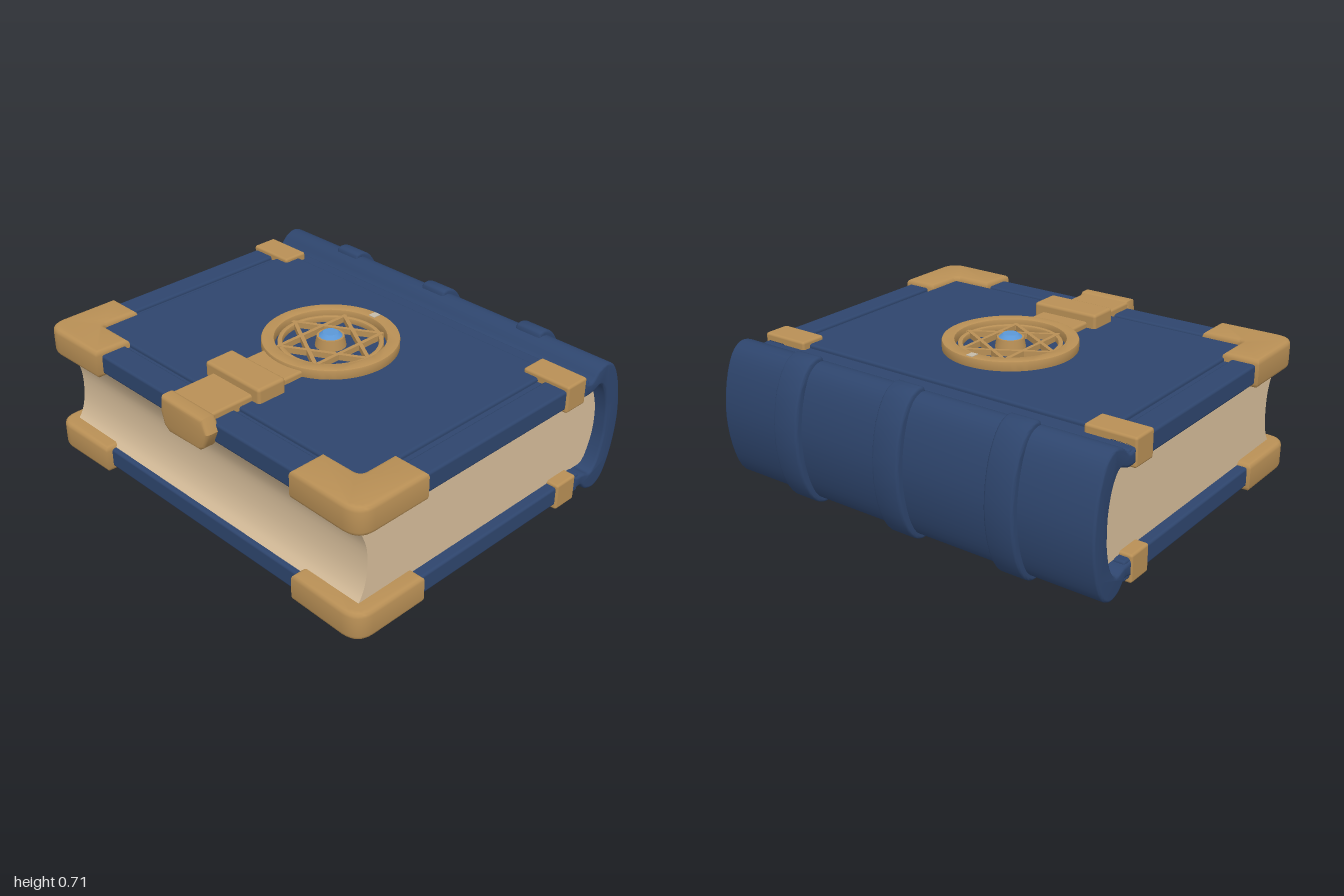
import * as THREE from 'three';
import { toCreasedNormals } from 'three/addons/utils/BufferGeometryUtils.js';
import { RoundedBoxGeometry } from 'three/addons/geometries/RoundedBoxGeometry.js';

const mat = (name, color) => {
  const m = new THREE.MeshStandardMaterial({ color });
  m.name = name;
  return m;
};

export function createModel() {
  const blue = mat('blue leather', 0x2e456d);
  const gold = mat('gold', 0xb88f55);
  const paper = mat('paper', 0xd6bd9a);
  const gemBlue = mat('gem blue', 0x5b97d6);
  const silver = mat('silver', 0xc4baa8);
  const book = new THREE.Group();
  book.name = 'book';

  const add = (name, geo, material, parent = book) => {
    const m = new THREE.Mesh(geo, material);
    m.name = name;
    parent.add(m);
    return m;
  };
  // Box given by its limits on each axis
  const block = (name, [x0, x1], [y0, y1], [z0, z1], material, r = 0.012) => {
    const geo = new RoundedBoxGeometry(x1 - x0, y1 - y0, z1 - z0, 2, r);
    geo.translate((x0 + x1) / 2, (y0 + y1) / 2, (z0 + z1) / 2);
    return add(name, geo, material);
  };
  const toShape = pts => new THREE.Shape(pts.map(p => new THREE.Vector2(p[0], p[1])));
  const extrude = (shape, depth, bevel) => new THREE.ExtrudeGeometry(shape, {
    depth: depth - 2 * bevel, bevelEnabled: bevel > 0, bevelSize: bevel, bevelThickness: bevel,
    bevelOffset: -bevel, bevelSegments: 3, curveSegments: 8,
  }).translate(0, 0, bevel);
  // (z, y) profile swept across x from x0 to x1
  const sweepX = (pts, x0, x1, bevel = 0) =>
    toCreasedNormals(extrude(toShape(pts), x1 - x0, bevel).rotateY(-Math.PI / 2).translate(x1, 0, 0), 0.6);
  // Smooth a short profile
  const smooth = (pts, n) => new THREE.CatmullRomCurve3(
    pts.map(p => new THREE.Vector3(p[0], p[1], 0))).getPoints(n).map(v => [v.x, v.y]);
  // Mirror a half profile about the middle height of the book
  const MID = 0.345;
  const mirrorY = pts => [...pts, ...pts.slice(0, -1).reverse().map(([z, y]) => [z, 2 * MID - y])];

  // Page block with hollow fore edge and rounded back
  const foreEdge = smooth([[0.78, 0.14], [0.745, 0.19], [0.722, 0.27], [0.722, 0.4], [0.75, 0.48], [0.79, 0.55]], 18);
  const pageBack = smooth(mirrorY([[-0.6, 0.55], [-0.66, 0.545], [-0.71, 0.45], [-0.725, MID]]), 18);
  add('pages', sweepX([...foreEdge, ...pageBack], -0.93, 0.93), paper);

  // Covers: front board with raised border and panel, plain back board
  block('frontCover', [-0.98, 0.98], [0.545, 0.622], [-0.58, 0.8], blue);
  block('frontPanel', [-0.83, 0.83], [0.6, 0.64], [-0.5, 0.65], blue);
  block('frontRim', [-0.98, 0.98], [0.56, 0.638], [0.672, 0.8], blue);
  for (const s of [-1, 1])
    block('sideRim', s > 0 ? [0.862, 0.98] : [-0.98, -0.862], [0.56, 0.638], [-0.54, 0.8], blue);
  block('backCover', [-0.98, 0.98], [0.052, 0.145], [-0.58, 0.8], blue);
  block('backPanel', [-0.955, 0.955], [0.047, 0.055], [-0.56, 0.785], paper, 0.002);

  // Spine: curved shell that swells past the hinges
  const outer = smooth(mirrorY([[-0.54, 0.62], [-0.585, 0.612], [-0.63, 0.652], [-0.685, 0.668],
    [-0.74, 0.64], [-0.79, 0.54], [-0.82, MID]]), 48);
  const inner = smooth(mirrorY([[-0.54, 0.555], [-0.605, 0.56], [-0.65, 0.575], [-0.69, 0.53],
    [-0.72, 0.43], [-0.725, MID]]), 40);
  add('spine', sweepX([...outer, ...inner.reverse()], -0.99, 0.99, 0.012), blue);

  // Raised bands on the spine
  const bandOut = smooth(mirrorY([[-0.655, 0.66], [-0.665, 0.683], [-0.7, 0.688], [-0.755, 0.66],
    [-0.82, 0.55], [-0.853, MID]]), 40);
  const bandIn = smooth(mirrorY([[-0.655, 0.645], [-0.7, 0.64], [-0.76, 0.56], [-0.79, MID]]), 30);
  for (const x of [-0.57, 0.005, 0.575])
    add('spineBand', sweepX([...bandOut, ...bandIn.reverse()], x - 0.07, x + 0.07, 0.012), blue);

  // Gold corners and hinge brackets on both covers
  const cornerShape = s => {
    const sh = new THREE.Shape();
    sh.moveTo(s * 0.62, 0.65);
    sh.lineTo(s * 0.79, 0.65);
    sh.quadraticCurveTo(s * 0.82, 0.65, s * 0.82, 0.62);
    sh.lineTo(s * 0.82, 0.46);
    sh.lineTo(s * 0.998, 0.46);
    sh.lineTo(s * 0.998, 0.75);
    sh.quadraticCurveTo(s * 0.995, 0.832, s * 0.91, 0.835);
    sh.lineTo(s * 0.62, 0.83);
    return sh;
  };
  for (const top of [0.662, 0.162]) {
    for (const s of [-1, 1]) {
      const geo = extrude(cornerShape(s), 0.134, 0.022).rotateX(Math.PI / 2).translate(0, top, 0);
      add('corner', toCreasedNormals(geo, 0.6), gold);
      block('hingeBracket', s > 0 ? [0.75, 0.99] : [-0.99, -0.75],
        [top - 0.132, top - 0.003], [-0.54, -0.41], gold);
    }
  }

  // Clasp: strap, buckle and the tab folded over the edge
  block('claspStrap', [-0.13, 0.125], [0.61, 0.668], [0.27, 0.82], gold);
  block('claspBuckle', [-0.175, 0.168], [0.62, 0.708], [0.43, 0.58], gold, 0.015);
  const tab = toShape([[-0.13, 0.672], [-0.14, 0.6], [-0.12, 0.535], [-0.085, 0.51], [0.11, 0.515],
    [0.135, 0.535], [0.168, 0.61], [0.135, 0.672]]);
  add('claspTab', toCreasedNormals(extrude(tab, 0.075, 0.018), 0.6).translate(0, 0, 0.782), gold);

  // Emblem: two rings, six crossing bars and a gem
  const emblem = new THREE.Group();
  emblem.name = 'emblem';
  emblem.position.set(0.006, 0.632, 0.015);
  book.add(emblem);
  const ring = (name, rOut, rIn, h, material = gold) => {
    const sh = new THREE.Shape().absarc(0, 0, rOut, 0, Math.PI * 2);
    sh.holes.push(new THREE.Path().absarc(0, 0, rIn, 0, Math.PI * 2, true));
    const geo = new THREE.ExtrudeGeometry(sh, { depth: h - 0.006, bevelSize: 0.006, bevelThickness: 0.006,
      bevelOffset: -0.006, bevelSegments: 2, curveSegments: 40 });
    add(name, toCreasedNormals(geo, 0.5).rotateX(-Math.PI / 2), material, emblem);
  };
  ring('outerRing', 0.308, 0.25, 0.052);
  ring('innerRing', 0.236, 0.214, 0.034);
  for (let i = 0; i < 6; i++) {
    const bar = new THREE.BoxGeometry(0.018, 0.034, 0.42);
    bar.translate(0.117, 0.018, 0).rotateY(i * Math.PI / 3);
    add('starBar', bar, gold, emblem);
  }
  for (const s of [-1, 1])
    add('ringTie', new THREE.BoxGeometry(0.05, 0.03, 0.018).translate(s * 0.238, 0.016, 0), gold, emblem);
  add('gemCollar', new THREE.CylinderGeometry(0.062, 0.072, 0.056, 24).translate(0, 0.028, 0), gold, emblem);
  const gem = new THREE.CylinderGeometry(0.035, 0.054, 0.016, 12).translate(0, 0.064, 0);
  add('gem', gem, gemBlue, emblem);
  add('ringStud', new THREE.BoxGeometry(0.034, 0.006, 0.04).translate(0, 0.052, -0.279), silver, emblem);

  return book;
}
